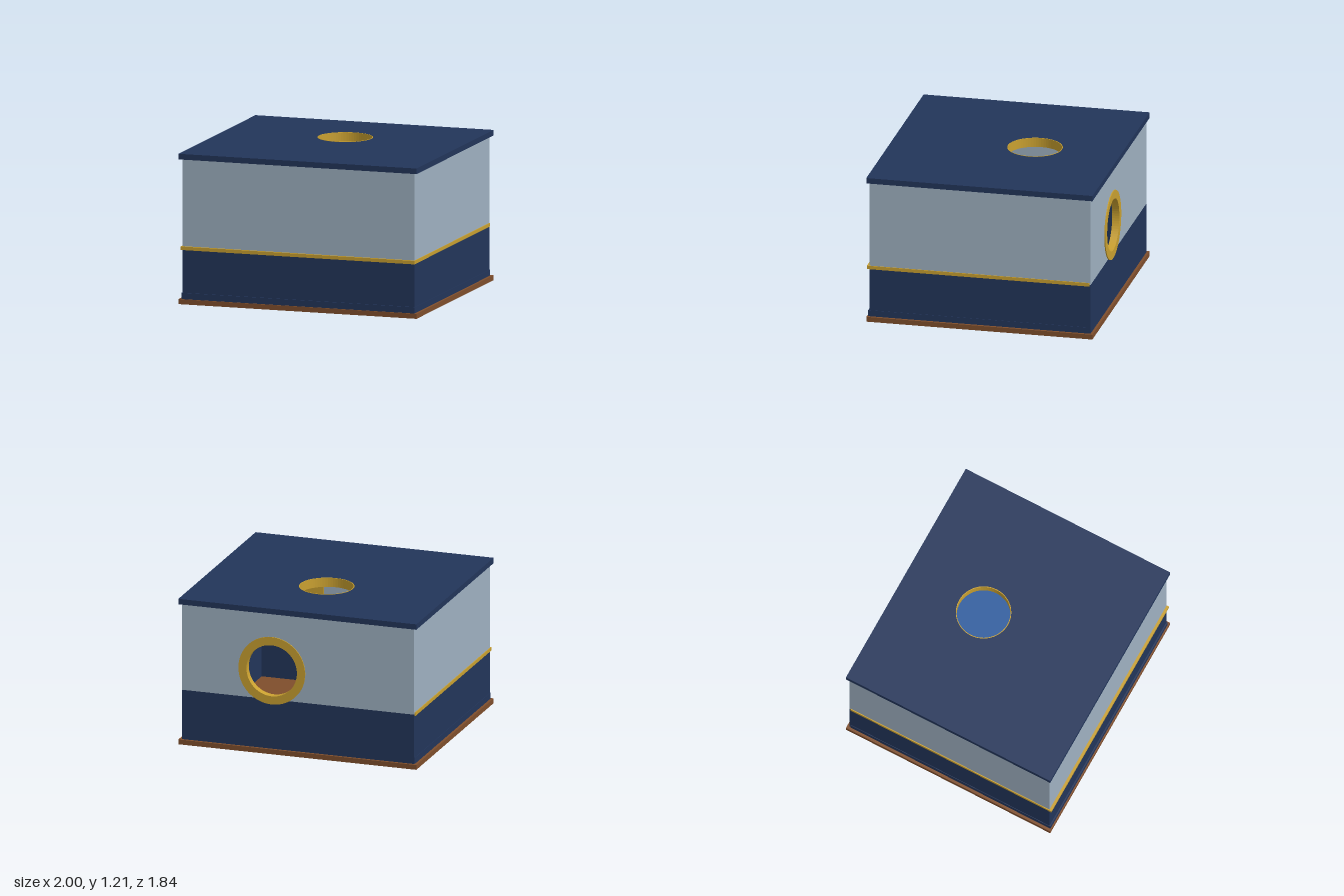
import * as THREE from 'three';

const mat = (name, color) => {
  const m = new THREE.MeshStandardMaterial({ color });
  m.name = name;
  return m;
};

export function createModel() {
  const wallBlue = mat('pale blue wall', 0x9fb1c1);
  const navy = mat('navy', 0x22355a);
  const wood = mat('brown wood', 0x7f4e2c);
  const gold = mat('gold', 0xc9a030);
  const rugBlue = mat('rug blue', 0x2d5c9e);

  const model = new THREE.Group();
  model.name = 'cabin';
  const add = (name, geometry, material, x = 0, y = 0, z = 0) => {
    const m = new THREE.Mesh(geometry, material);
    m.name = name;
    m.position.set(x, y, z);
    model.add(m);
    return m;
  };
  // Box given by its limits on each axis
  const box = (name, material, [x0, x1], [y0, y1], [z0, z1]) =>
    add(name, new THREE.BoxGeometry(x1 - x0, y1 - y0, z1 - z0), material,
      (x0 + x1) / 2, (y0 + y1) / 2, (z0 + z1) / 2);
  // Rectangular slab with one round hole
  const slab = (x0, x1, y0, y1, hx, hy, r, depth) => {
    const s = new THREE.Shape([
      new THREE.Vector2(x0, y0), new THREE.Vector2(x1, y0),
      new THREE.Vector2(x1, y1), new THREE.Vector2(x0, y1)]);
    s.holes.push(new THREE.Path().absarc(hx, hy, r, 0, Math.PI * 2, true));
    return new THREE.ExtrudeGeometry(s, { depth, bevelEnabled: false, curveSegments: 32 });
  };
  // Hollow collar with a square section, around the y axis
  const collar = (inner, outer, h) => {
    const s = new THREE.Shape().absarc(0, 0, outer, 0, Math.PI * 2, false);
    s.holes.push(new THREE.Path().absarc(0, 0, inner, 0, Math.PI * 2, true));
    return new THREE.ExtrudeGeometry(s, { depth: h, bevelEnabled: false, curveSegments: 32 })
      .rotateX(-Math.PI / 2);
  };

  const W = 0.975, D = 0.9, T = 0.05, FLOOR = 0.04, SPLIT = 0.45, TOP = 1.165;

  // Floor and roof with a round skylight
  box('floor', wood, [-1, 1], [0, FLOOR], [-0.92, 0.92]);
  add('roof', slab(-1, 1, -0.92, 0.92, 0, 0.22, 0.22, 0.045).rotateX(-Math.PI / 2), navy, 0, TOP, 0);
  add('skylightRim', collar(0.214, 0.22, 0.075), gold, 0, 1.137, -0.22);

  // Walls: navy below, pale blue above
  for (const [part, material, ys] of [
    ['Lower', navy, [FLOOR, SPLIT]], ['Upper', wallBlue, [SPLIT, TOP]]]) {
    box('front' + part + 'Wall', material, [-W, W], ys, [D - T, D]);
    box('left' + part + 'Wall', material, [W - T, W], ys, [-D + T, D - T]);
    box('right' + part + 'Wall', material, [-W, -W + T], ys, [-D + T, D - T]);
  }
  box('backLowerWall', navy, [-W, W], [FLOOR, SPLIT], [-D, -D + T]);
  add('backUpperWall', slab(-W, W, SPLIT, TOP, 0.22, 0.69, 0.22, T), wallBlue, 0, 0, -D);

  // Gold rail and skirting on the front and both sides
  for (const [name, material, y0, y1, out, front] of [
    ['rail', gold, 0.437, 0.465, 0.007, 0.02],
    ['skirting', navy, FLOOR, 0.09, 0.004, 0.01]]) {
    box(name + 'Front', material, [-W - out, W + out], [y0, y1], [D, D + front]);
    for (const s of [-1, 1]) {
      const xs = s > 0 ? [W, W + out] : [-W - out, -W];
      box(name + (s > 0 ? 'Left' : 'Right'), material, xs, [y0, y1], [-0.89, D]);
    }
  }

  // Porthole in the back wall: flange outside and lining through the wall
  add('portholeFlange', collar(0.212, 0.28, 0.01).rotateX(-Math.PI / 2), gold, 0.22, 0.69, -D + 0.002);
  add('portholeLining', collar(0.212, 0.22, T).rotateX(Math.PI / 2), gold, 0.22, 0.69, -D);

  // Round rug with a navy and gold border ring
  for (const [name, material, r, h] of [
    ['rug', rugBlue, 0.51, 0.006], ['rugNavyRing', navy, 0.43, 0.009],
    ['rugGoldRing', gold, 0.405, 0.012], ['rugCentre', rugBlue, 0.375, 0.015]]) {
    add(name, new THREE.CylinderGeometry(r, r, h, 64), material, 0.33, FLOOR + h / 2, -0.335);
  }

  // Gold panel on the inside of the front wall
  box('wallPanel', gold, [0.4, 0.76], [0.32, 0.95], [D - T - 0.009, D - T]);

  return model;
}
